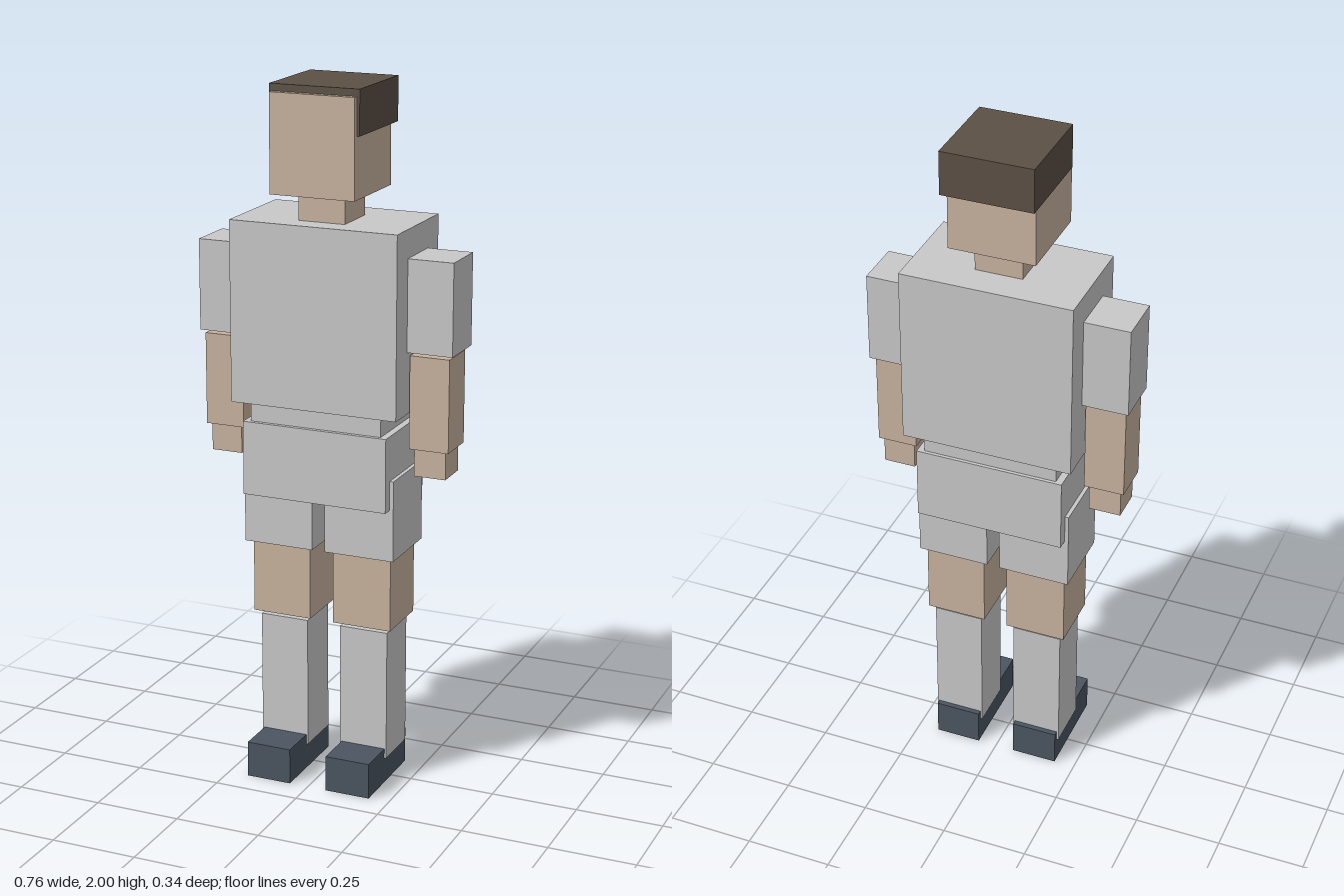
import * as THREE from 'three';

export function createModel() {
  const model = new THREE.Group();
  model.name = 'blockFigure';

  const material = (name, color) => {
    const m = new THREE.MeshStandardMaterial({ color });
    m.name = name;
    return m;
  };
  const cloth = material('clothGrey', 0xc8c8c8);
  const skin = material('skin', 0xc8b39e);
  const hair = material('hairBrown', 0x5c5046);
  const leather = material('shoeSlate', 0x4b5560);

  // Block given by its centre x, width, and its y and z ranges
  const block = (parent, name, mat, x, w, [y0, y1], [z0, z1]) => {
    const mesh = new THREE.Mesh(new THREE.BoxGeometry(w, y1 - y0, z1 - z0), mat);
    mesh.name = name;
    mesh.position.set(x, (y0 + y1) / 2, (z0 + z1) / 2);
    parent.add(mesh);
  };

  // Head and trunk
  block(model, 'hair', hair, 0, 0.262, [1.875, 2], [-0.154, 0.114]);
  block(model, 'head', skin, 0, 0.247, [1.704, 1.98], [-0.123, 0.131]);
  block(model, 'neck', skin, 0, 0.136, [1.62, 1.71], [-0.074, 0.065]);
  block(model, 'chest', cloth, 0, 0.493, [1.11, 1.625], [-0.17, 0.13]);
  block(model, 'waist', cloth, 0, 0.39, [1.05, 1.115], [-0.144, 0.111]);
  block(model, 'pelvis', cloth, 0, 0.43, [0.842, 1.055], [-0.154, 0.123]);

  // Arms and legs, mirrored about x = 0
  for (const [side, s] of [['left', 1], ['right', -1]]) {
    const arm = new THREE.Group();
    arm.name = side + 'Arm';
    arm.position.x = s * 0.309;
    block(arm, 'sleeve', cloth, 0, 0.138, [1.285, 1.545], [-0.092, 0.053]);
    block(arm, 'forearm', skin, 0, 0.115, [1.01, 1.275], [-0.075, 0.044]);
    block(arm, 'hand', skin, 0, 0.092, [0.93, 1.012], [-0.064, 0.033]);

    const leg = new THREE.Group();
    leg.name = side + 'Leg';
    leg.position.x = s * 0.1225;
    block(leg, 'shortsLeg', cloth, 0, 0.207, [0.692, 0.926], [-0.122, 0.092]);
    block(leg, 'thigh', skin, 0, 0.175, [0.475, 0.695], [-0.106, 0.07]);
    block(leg, 'shin', cloth, 0, 0.144, [0.076, 0.461], [-0.092, 0.054]);
    block(leg, 'shoe', leather, 0, 0.133, [0, 0.105], [-0.107, 0.169]);

    model.add(arm, leg);
  }
  return model;
}
